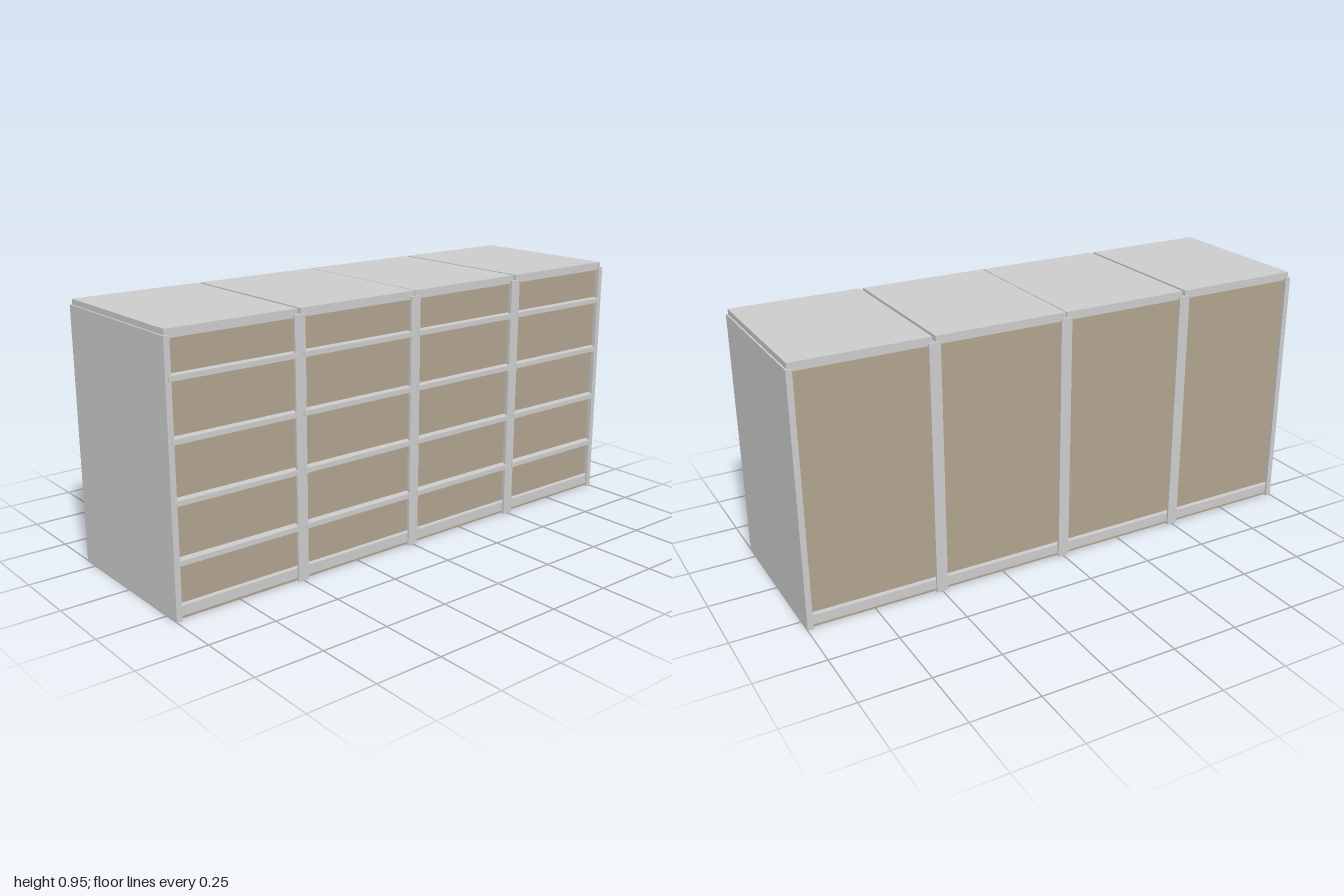
import * as THREE from 'three';

// Four-bay storage cabinet: sheet uprights with flanges, panelled bays and separate tops.
export function createModel() {
  const cabinet = new THREE.Group();
  cabinet.name = 'cabinet';
  const steel = new THREE.MeshStandardMaterial({ color: 0xcccccc });
  const board = new THREE.MeshStandardMaterial({ color: 0xb0a38e });

  // Box given by its minimum and maximum on each axis.
  function box(parent, name, material, [x0, x1], [y0, y1], [z0, z1]) {
    const mesh = new THREE.Mesh(new THREE.BoxGeometry(x1 - x0, y1 - y0, z1 - z0), material);
    mesh.position.set((x0 + x1) / 2, (y0 + y1) / 2, (z0 + z1) / 2);
    mesh.name = name;
    parent.add(mesh);
    return mesh;
  }

  const postTop = 0.93;
  const half = 0.312;

  // Uprights: a thin sheet with flanges along its front and back edges.
  for (let i = 0; i < 5; i++) {
    const x = -1 + i * 0.5;
    const upright = new THREE.Group();
    upright.name = 'upright';
    const end = i === 0 || i === 4;
    const sheet = end ? [Math.min(x, x * 0.994), Math.max(x, x * 0.994)] : [x - 0.005, x + 0.005];
    const flange = [Math.max(-1, x - 0.021), Math.min(1, x + 0.021)];
    box(upright, 'uprightSheet', steel, sheet, [0, postTop], [-half, half]);
    box(upright, 'frontFlange', steel, flange, [0, postTop], [half - 0.008, half]);
    box(upright, 'backFlange', steel, flange, [0, postTop], [-half, -half + 0.008]);
    cabinet.add(upright);
  }

  // Bays
  for (let i = 0; i < 4; i++) {
    const bay = new THREE.Group();
    bay.name = 'bay';
    bay.position.x = -0.75 + i * 0.5;
    const inner = [-0.244, 0.244];

    // Top sheet; the centre seam is narrower than the outer two.
    const left = i === 2 ? -0.248 : -0.244;
    const right = i === 1 ? 0.248 : 0.244;
    box(bay, 'topPanel', steel, [left, right], [0.92, 0.95], [-0.305, 0.305]);

    // Floor, and recessed front and back panels
    box(bay, 'floorPanel', board, inner, [0.002, 0.012], [-0.3, 0.3]);
    box(bay, 'frontPanel', board, inner, [0.012, 0.92], [0.276, 0.284]);
    box(bay, 'backPanel', board, inner, [0.012, 0.92], [-0.284, -0.276]);

    // Bottom rails
    box(bay, 'frontBottomRail', steel, inner, [0.012, 0.048], [0.284, 0.303]);
    box(bay, 'backBottomRail', steel, inner, [0.012, 0.048], [-0.303, -0.284]);

    // Shelf edges across the front
    for (let s = 1; s <= 4; s++) {
      box(bay, 'shelfEdge', steel, [-0.238, 0.238], [s * 0.2 - 0.012, s * 0.2 + 0.006], [0.284, 0.315]);
    }
    cabinet.add(bay);
  }
  return cabinet;
}
